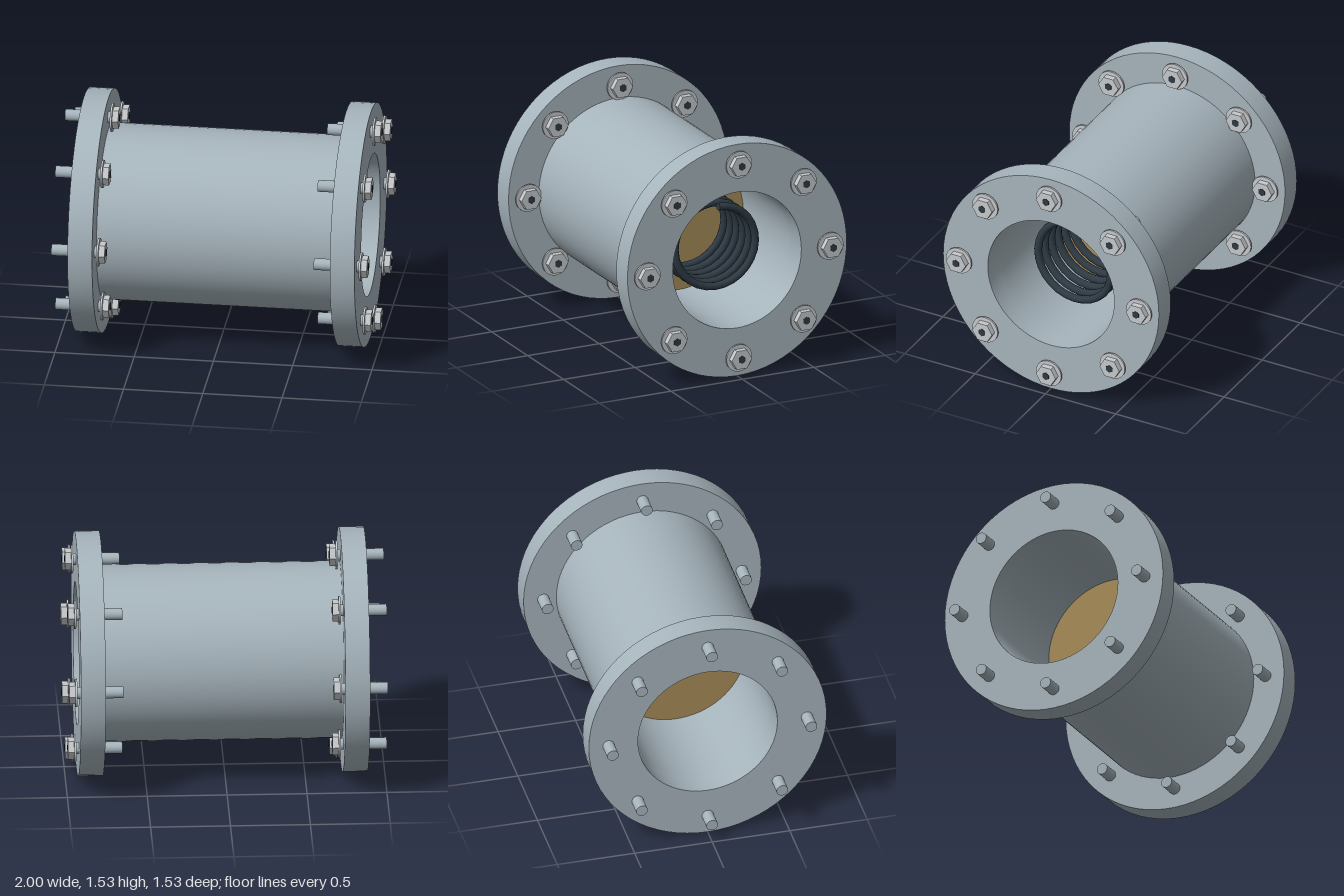
import * as THREE from 'three';
import { toCreasedNormals } from 'three/addons/utils/BufferGeometryUtils.js';

const STEEL = 0xa6b4bc, BRIGHT = 0xc6cacd, DARK = 0x2e3a44, BRASS = 0xa68c58;
const BORE = 0.45, BOLT_CIRCLE = 0.64;

function mesh(name, geometry, color, parent) {
  const m = new THREE.Mesh(geometry, new THREE.MeshStandardMaterial({ color }));
  m.name = name;
  parent.add(m);
  return m;
}

// Hollow ring along y, from y0 to y1
function ring(inner, outer, y0, y1) {
  const profile = [[inner, y0], [outer, y0], [outer, y1], [inner, y1], [inner, y0]]
    .map(([r, y]) => new THREE.Vector2(r, y));
  return toCreasedNormals(new THREE.LatheGeometry(profile, 72), 0.6);
}

// Solid disc or prism along y, from y0 to y1
function rod(radius, y0, y1, sides = 32) {
  const g = new THREE.CylinderGeometry(radius, radius, y1 - y0, sides);
  g.translate(0, (y0 + y1) / 2, 0);
  return sides > 6 ? g : toCreasedNormals(g, 0.5);
}

// Bolt whose washer seats just above y = 0
function createBolt() {
  const bolt = new THREE.Group();
  bolt.name = 'bolt';
  mesh('shank', rod(0.037, -0.27, 0.025, 24), STEEL, bolt);
  mesh('washer', rod(0.089, 0.02, 0.032), BRIGHT, bolt);
  const head = mesh('hexHead', rod(0.07, 0.032, 0.07, 6), BRIGHT, bolt);
  head.rotation.y = 0;
  const socket = mesh('hexSocket', rod(0.026, 0.06, 0.073, 6), DARK, bolt);
  socket.rotation.y = Math.PI / 6;
  return bolt;
}

class Helix extends THREE.Curve {
  getPoint(t, target = new THREE.Vector3()) {
    const a = t * 6 * Math.PI * 2;
    return target.set(-0.27 * Math.cos(a), 0.66 - 0.515 * t, -0.27 * Math.sin(a));
  }
}

export function createModel() {
  const model = new THREE.Group();
  model.name = 'flangedPipe';

  // Built along y, then laid down so that +y becomes +x
  const body = new THREE.Group();
  body.name = 'body';
  body.rotation.z = -Math.PI / 2;
  body.position.y = 0.767;
  model.add(body);

  mesh('tube', ring(BORE, 0.555, -0.73, 0.77), STEEL, body);

  // End flanges, each with a circle of bolts facing the same way
  for (const [side, y0, y1] of [['right', -0.885, -0.73], ['left', 0.77, 0.925]]) {
    mesh(side + 'Flange', ring(BORE, 0.767, y0, y1), STEEL, body);
    for (let i = 0; i < 8; i++) {
      const a = i * Math.PI / 4;
      const bolt = createBolt();
      bolt.position.set(BOLT_CIRCLE * Math.cos(a), y1, BOLT_CIRCLE * Math.sin(a));
      // Two corners of every head point along z
      body.add(bolt);
    }
  }

  // Sliding piston closing the bore
  mesh('piston', rod(BORE - 0.001, -0.08, 0.12, 72), BRASS, body);

  // Coil spring resting on the piston, with capped ends
  const helix = new Helix();
  mesh('spring', new THREE.TubeGeometry(helix, 168, 0.025, 10), DARK, body);
  for (const t of [0, 1]) {
    const cap = mesh('springEnd', new THREE.CircleGeometry(0.025, 10), DARK, body);
    const p = helix.getPoint(t);
    const out = helix.getTangent(t).multiplyScalar(t ? 1 : -1);
    cap.position.copy(p);
    cap.quaternion.setFromUnitVectors(new THREE.Vector3(0, 0, 1), out);
  }
  return model;
}
